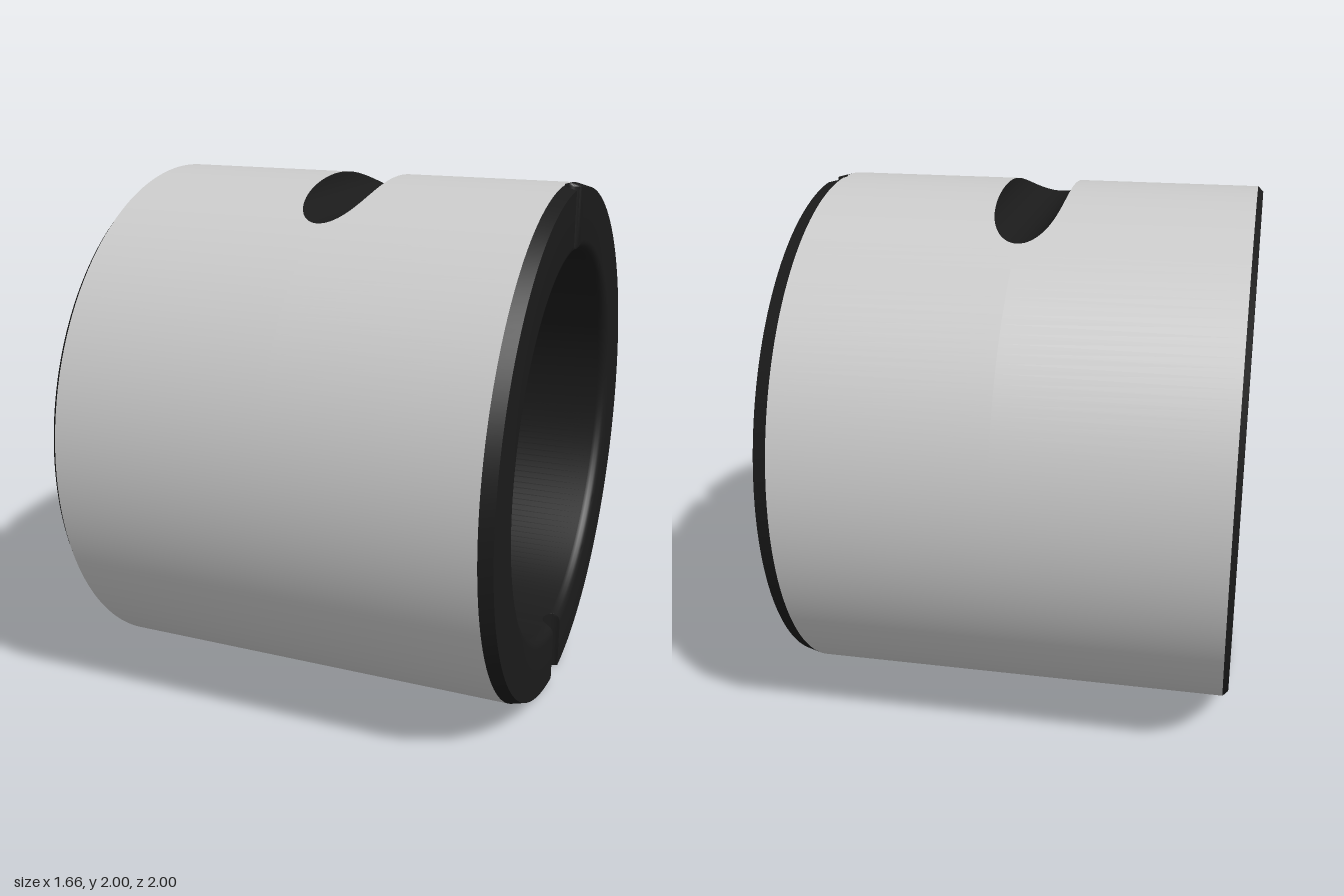
import * as THREE from 'three';
import { toCreasedNormals } from 'three/addons/utils/BufferGeometryUtils.js';

const HALF = 0.83, INNER = 0.75, FILLET = 0.04;   // sleeve along x, outer radius 1
const NOTCH = 0.057;                              // radial key notch in the +x end
const POCKET = 0.127, POCKET_Y = 1.007;           // round cutter lying along z over the top
const POCKET_END = Math.acos(POCKET_Y - POCKET);  // angle at which the pocket runs out

// Angles from the top, packed closer at the notch and pocket edges
function stationAngles() {
  const list = [];
  for (let i = 0; i < 180; i++) list.push(i * Math.PI / 90);
  for (let i = 0; i <= 48; i++) {
    const s = Math.sin((i / 48 - 0.5) * Math.PI);
    list.push(POCKET_END * s);
    if (i % 2 === 0) list.push(Math.asin(NOTCH * s), Math.PI + Math.asin(NOTCH * s));
  }
  const turn = Math.PI * 2;
  return list.map(a => (a + turn) % turn).sort((a, b) => a - b)
    .filter((a, i, all) => i === 0 || a - all[i - 1] > 1e-5);
}

// A profile point (x, radius) placed at an angle, pushed in by the notch.
// Near the notches stations run parallel instead of radially, for straight walls.
function place(x, radius, angle) {
  const s = Math.sin(angle);
  const blend = 1 - THREE.MathUtils.smoothstep(Math.abs(s), 0.06, 0.3);
  const z = THREE.MathUtils.lerp(s * radius, s, blend);
  const y = Math.sign(Math.cos(angle)) * Math.sqrt(Math.max(0, radius * radius - z * z));
  const cut = Math.abs(z) < NOTCH ? HALF - Math.sqrt(NOTCH * NOTCH - z * z) : HALF;
  return [Math.min(x, cut), y + 1, z];
}

// Half width of the pocket where it meets the outer surface
function pocketWidth(angle) {
  const d = POCKET_Y - Math.cos(angle);
  return d < POCKET ? Math.sqrt(POCKET * POCKET - d * d) : 0;
}

// Skin between successive cross-sections
function loft(rows, closed) {
  const n = rows[0].length, index = [];
  for (let i = 0; i < rows.length - (closed ? 0 : 1); i++) {
    const k = (i + 1) % rows.length;
    for (let j = 0; j < n - 1; j++) {
      const a = i * n + j, b = k * n + j;
      index.push(a, b, a + 1, b, b + 1, a + 1);
    }
  }
  const g = new THREE.BufferGeometry();
  g.setAttribute('position', new THREE.Float32BufferAttribute(rows.flat(2), 3));
  g.setIndex(index);
  g.computeVertexNormals();
  return g;
}

// Exact round normals for the outer skin
function roundNormals(g) {
  const p = g.attributes.position;
  for (let i = 0; i < p.count; i++) g.attributes.normal.setXYZ(i, 0, p.getY(i) - 1, p.getZ(i));
  g.normalizeNormals();
  return g;
}

export function createModel() {
  const group = new THREE.Group();
  const grey = new THREE.MeshStandardMaterial({ color: 0xcccccc });
  const dark = new THREE.MeshStandardMaterial({ color: 0x1b1b1b });
  const add = (name, geometry, material) => {
    const mesh = new THREE.Mesh(geometry, material);
    mesh.name = name;
    group.add(mesh);
  };
  const angles = stationAngles();

  // Outer skin, split along x = 0 so it can open around the pocket
  add('outerSkinRight', roundNormals(loft(angles.map(a =>
    [place(-0.81, 1, a), place(-pocketWidth(a), 1, a)]), true)), grey);
  add('outerSkinLeft', roundNormals(loft(angles.map(a =>
    [place(pocketWidth(a), 1, a), place(0.78, 1, a)]), true)), grey);

  // Chamfers, end faces, rounded mouths and bore in one profile
  const profile = [[0.78, 1], [HALF, 0.987]];
  const mouth = [];
  for (let i = 0; i <= 5; i++) {
    const t = i / 5 * Math.PI / 2;
    mouth.push([HALF - FILLET * (1 - Math.cos(t)), INNER + FILLET * (1 - Math.sin(t))]);
  }
  profile.push(...mouth, ...mouth.map(([x, r]) => [-x, r]).reverse(), [-HALF, 0.98], [-0.81, 1]);
  add('endsAndBore', toCreasedNormals(loft(angles.map(a =>
    profile.map(([x, r]) => place(x, r, a))), true), 0.5), dark);

  // Scooped pocket across the top
  const rows = angles.map(a => a > Math.PI ? a - Math.PI * 2 : a).sort((a, b) => a - b)
    .filter(a => Math.abs(a) <= POCKET_END + 1e-6)
    .map(a => {
      const half = Math.atan2(pocketWidth(a), POCKET_Y - Math.cos(a));
      return Array.from({ length: 25 }, (_, j) => {
        const t = half * (j / 12 - 1);
        return [POCKET * Math.sin(t), 1 + POCKET_Y - POCKET * Math.cos(t), Math.sin(a)];
      });
    });
  add('topPocket', loft(rows, false), dark);
  return group;
}
